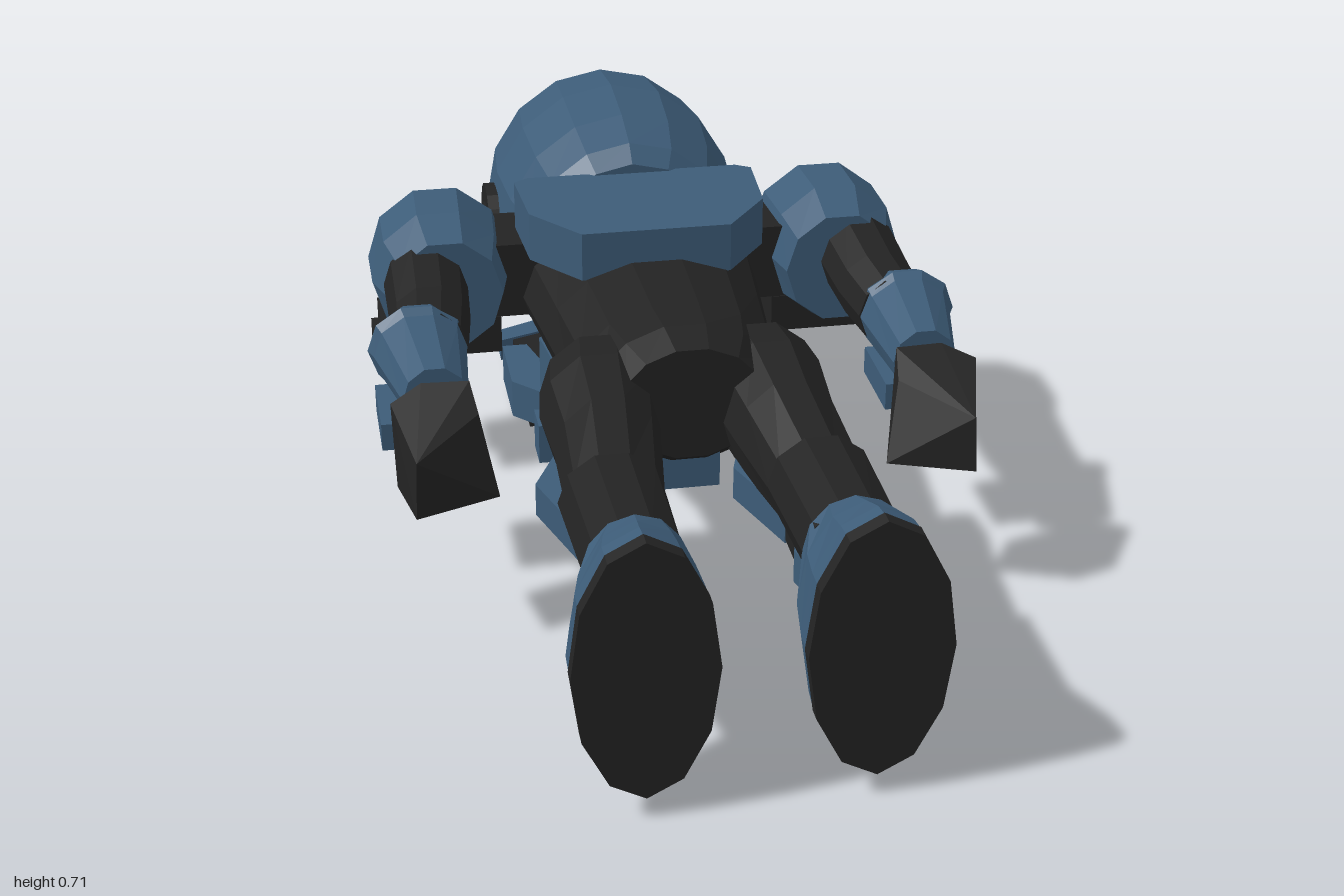
import * as THREE from 'three';
import { ConvexGeometry } from 'three/addons/geometries/ConvexGeometry.js';

const material = (name, color) => {
  const m = new THREE.MeshStandardMaterial({ color });
  m.name = name;
  return m;
};

// Faceted normals for the low-poly style
function faceted(geometry) {
  const g = geometry.index ? geometry.toNonIndexed() : geometry;
  g.computeVertexNormals();
  return g;
}

// Elliptical rings [x, y, z, rx, ry] joined along increasing z, with end caps
function loft(rings, sides = 12) {
  const pos = [], index = [];
  for (const [x, y, z, rx, ry] of rings) {
    for (let j = 0; j < sides; j++) {
      const a = (j / sides) * Math.PI * 2;
      pos.push(x + rx * Math.cos(a), y + ry * Math.sin(a), z);
    }
  }
  const last = rings.length - 1, c0 = pos.length / 3, c1 = c0 + 1;
  pos.push(...rings[0].slice(0, 3), ...rings[last].slice(0, 3));
  for (let j = 0; j < sides; j++) {
    const k = (j + 1) % sides;
    for (let i = 0; i < last; i++) {
      const a = i * sides + j, b = i * sides + k;
      index.push(a, b, b + sides, a, b + sides, a + sides);
    }
    index.push(c0, k, j, c1, last * sides + j, last * sides + k);
  }
  const g = new THREE.BufferGeometry();
  g.setAttribute('position', new THREE.Float32BufferAttribute(pos, 3));
  g.setIndex(index);
  return faceted(g);
}

// Flat outline of [x, z] points, filled between heights y0 and y1
function plate(points, y0, y1) {
  const shape = new THREE.Shape(points.map(([x, z]) => new THREE.Vector2(x, z)));
  const g = new THREE.ExtrudeGeometry(shape, { depth: y1 - y0, bevelEnabled: false });
  return g.rotateX(Math.PI / 2).translate(0, y1, 0);
}

// Box given by its limits on each axis
const box = (x0, x1, y0, y1, z0, z1) =>
  new THREE.BoxGeometry(Math.abs(x1 - x0), y1 - y0, z1 - z0)
    .translate((x0 + x1) / 2, (y0 + y1) / 2, (z0 + z1) / 2);

// Plate symmetric in x: list only the +x half, ordered along z
const mirrorPlate = (half, y0, y1) =>
  plate([...half, ...half.map(([x, z]) => [-x, z]).reverse()], y0, y1);

export function createModel() {
  const blue = material('armour blue', 0x3d5c78);
  const black = material('suit black', 0x232323);
  const purple = material('visor purple', 0x38243c);
  const model = new THREE.Group();
  model.name = 'lyingArmouredFigure';
  const add = (name, geometry, mat) => {
    const mesh = new THREE.Mesh(geometry, mat);
    mesh.name = name;
    model.add(mesh);
  };

  // Helmet
  add('helmet', loft([
    [0, 0.41, -1, 0.02, 0.02], [0, 0.41, -0.985, 0.1, 0.11], [0, 0.41, -0.94, 0.2, 0.225],
    [0, 0.41, -0.81, 0.26, 0.28], [0, 0.41, -0.65, 0.275, 0.302], [0, 0.41, -0.5, 0.262, 0.288],
    [0, 0.41, -0.4, 0.235, 0.262], [0, 0.41, -0.36, 0.2, 0.23],
  ], 16), blue);
  add('foreheadBlock', box(-0.06, 0.06, 0.2, 0.28, -0.98, -0.9), black);

  // Face guard
  add('visor', mirrorPlate([[0.15, -0.42], [0.22, -0.58], [0.22, -0.78]], 0.04, 0.058), purple);
  add('visorBacking', mirrorPlate([[0.15, -0.42], [0.22, -0.58], [0.22, -0.78]], 0.059, 0.07), black);
  add('browBar', mirrorPlate([[0.25, -0.73], [0.25, -0.785], [0.13, -0.84]].reverse()
    .concat([[0.13, -0.775]]), 0.025, 0.075), blue);
  add('chinGuard', mirrorPlate([[0.11, -0.36], [0.13, -0.45]], 0.03, 0.125), blue);

  // Torso and back
  add('torso', loft([
    [0, 0.42, -0.42, 0.2, 0.12], [0, 0.4, -0.34, 0.255, 0.16], [0, 0.4, -0.05, 0.225, 0.155],
    [0, 0.4, 0.15, 0.205, 0.155], [0, 0.41, 0.25, 0.18, 0.15], [0, 0.43, 0.33, 0.14, 0.115],
  ], 14), black);
  add('backPack', mirrorPlate([[0.22, -0.37], [0.25, -0.35], [0.24, -0.18], [0.15, -0.06]], 0.52, 0.62), blue);

  // Chest, belly and belt
  add('belly', mirrorPlate([[0.11, -0.1], [0.08, 0.0]], 0.19, 0.28), blue);
  add('beltBuckle', box(-0.07, 0.07, 0.212, 0.27, 0.08, 0.16), black);
  add('groinPlate', mirrorPlate([[0.1, 0.1], [0.06, 0.3]], 0.235, 0.32), blue);
  add('chestBadge', box(-0.035, 0.035, 0.145, 0.168, -0.31, -0.19), black);

  for (const s of [1, -1]) {
    const side = s > 0 ? 'left' : 'right';
    const part = (name, geometry, mat) => add(side + name, geometry, mat);
    const limb = (rings, n) => loft(rings.map(([x, ...r]) => [s * x, ...r]), n);
    const panel = (pts, y0, y1) => plate(pts.map(([x, z]) => [s * x, z]), y0, y1);
    const block = (x0, x1, ...r) => box(s * x0, s * x1, ...r);

    // Ear disc and its raised centre
    part('EarDisc', faceted(new THREE.CylinderGeometry(0.095, 0.095, 0.05, 16)
      .rotateZ(Math.PI / 2).translate(s * 0.257, 0.4, -0.645)), black);
    part('EarCap', faceted(new THREE.CylinderGeometry(0.055, 0.055, 0.05, 16)
      .rotateZ(Math.PI / 2).translate(s * 0.262, 0.4, -0.645)), black);

    // Cheek guard with foot
    part('CheekGuard', panel([[0.1, -0.4], [0.2, -0.4], [0.255, -0.46], [0.255, -0.64], [0.2, -0.64], [0.16, -0.48]], 0.02, 0.105), blue);
    part('CheekStud', block(0.17, 0.22, 0, 0.025, -0.55, -0.44), black);

    // Chest plate
    part('ChestPlate', panel([[0.015, -0.34], [0.13, -0.37], [0.21, -0.31], [0.19, -0.14], [0.015, -0.09]], 0.165, 0.28), blue);

    // Shoulder
    part('ShoulderJoint', block(0.2, 0.32, 0.36, 0.52, -0.43, -0.26), black);
    part('ShoulderPad', limb([
      [0.4, 0.45, -0.49, 0.1, 0.1], [0.41, 0.45, -0.41, 0.145, 0.15],
      [0.415, 0.45, -0.28, 0.14, 0.15], [0.41, 0.45, -0.185, 0.115, 0.12],
    ], 10), blue);
    part('ShoulderFrontPad', block(0.29, 0.54, 0.26, 0.34, -0.44, -0.3), black);
    part('ShoulderFrontClip', block(0.5, 0.56, 0.31, 0.35, -0.32, -0.22), black);

    // Arm
    part('UpperArm', limb([[0.45, 0.47, -0.22, 0.085, 0.085], [0.455, 0.455, -0.06, 0.08, 0.08], [0.465, 0.45, 0.05, 0.075, 0.075]], 10), black);
    part('Forearm', limb([
      [0.485, 0.45, 0.01, 0.085, 0.08], [0.488, 0.45, 0.04, 0.098, 0.09],
      [0.485, 0.445, 0.06, 0.09, 0.085], [0.472, 0.44, 0.245, 0.062, 0.065],
    ], 10), blue);
    part('ForearmGuard', block(0.41, 0.575, 0.315, 0.37, 0.03, 0.2), blue);
    part('Hand', faceted(new ConvexGeometry([
      [0.41, 0.48, 0.26], [0.5, 0.48, 0.255], [0.56, 0.46, 0.29], [0.555, 0.29, 0.3],
      [0.42, 0.31, 0.27], [0.37, 0.29, 0.37], [0.4, 0.44, 0.32], [0.53, 0.29, 0.43], [0.525, 0.4, 0.42],
    ].map(([x, y, z]) => new THREE.Vector3(s * x, y, z)))), black);

    // Leg
    part('Thigh', limb([
      [0.155, 0.4, 0.18, 0.115, 0.12], [0.165, 0.39, 0.26, 0.115, 0.13],
      [0.17, 0.38, 0.4, 0.1, 0.12], [0.185, 0.375, 0.58, 0.09, 0.09],
    ], 10), black);
    part('Shin', limb([[0.19, 0.38, 0.57, 0.098, 0.095], [0.19, 0.39, 0.84, 0.09, 0.095]], 10), black);
    part('HipPlate', block(0.17, 0.275, 0.26, 0.34, 0.13, 0.2), blue);
    part('ThighPlate', panel([[0.12, 0.22], [0.24, 0.24], [0.305, 0.38], [0.25, 0.56], [0.13, 0.56], [0.07, 0.38]], 0.25, 0.315), blue);
    part('KneePad', block(0.13, 0.25, 0.26, 0.32, 0.565, 0.65), black);
    part('ShinPlate', panel([[0.13, 0.65], [0.25, 0.65], [0.27, 0.72], [0.24, 0.85], [0.14, 0.85], [0.11, 0.72]], 0.267, 0.33), blue);

    // Boot
    part('Boot', limb([
      [0.19, 0.39, 0.82, 0.09, 0.1], [0.195, 0.32, 0.875, 0.115, 0.19],
      [0.2, 0.295, 0.93, 0.125, 0.235], [0.2, 0.29, 0.972, 0.126, 0.248],
    ], 12), blue);
    part('Sole', limb([[0.2, 0.29, 0.97, 0.127, 0.25], [0.2, 0.29, 1, 0.127, 0.25]], 12), black);
  }
  return model;
}
